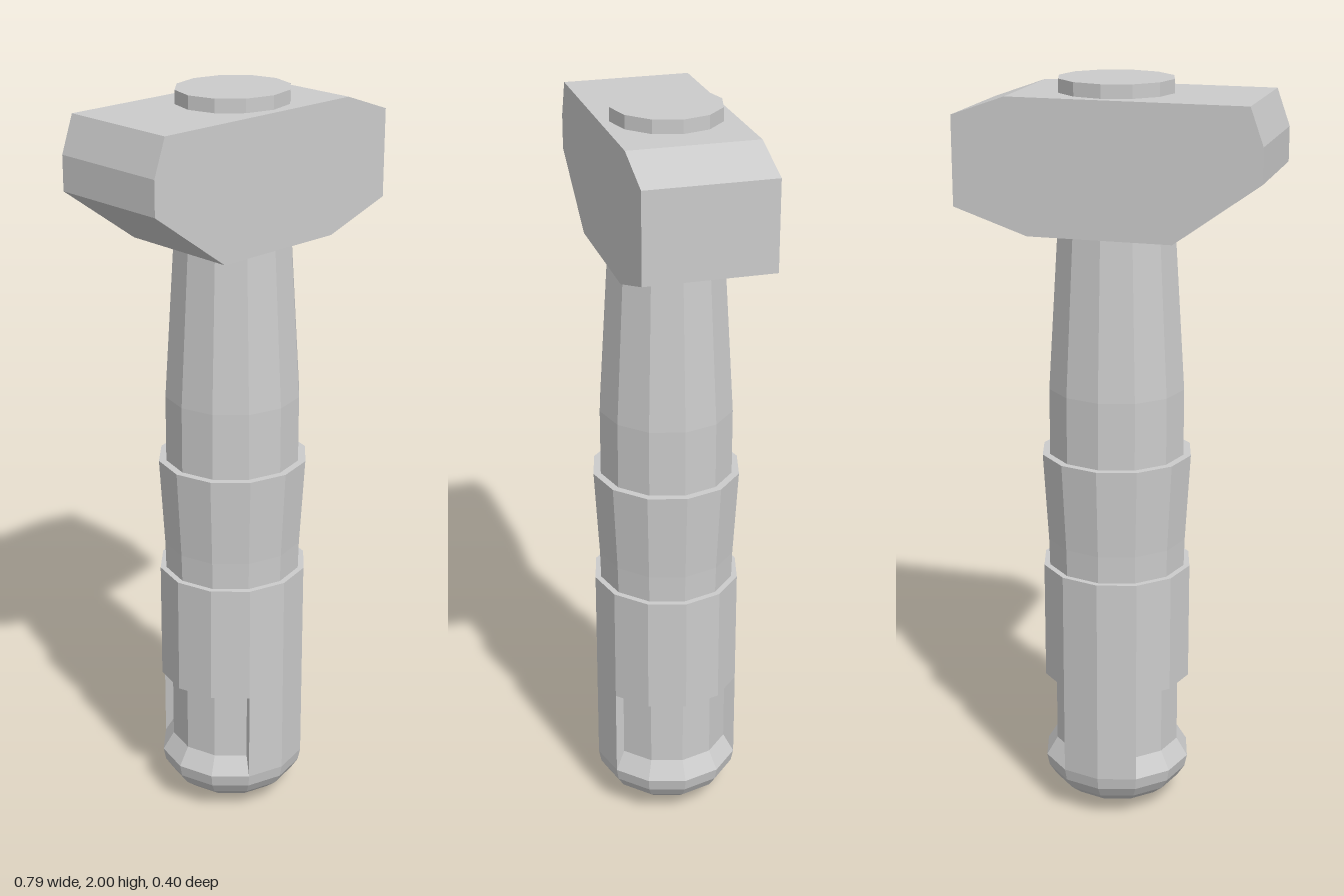
import * as THREE from 'three';

const SIDES = 12;
const material = new THREE.MeshStandardMaterial({ color: 0xcccccc, flatShading: true });
const thin = new THREE.MeshStandardMaterial({ color: 0xcccccc, flatShading: true, side: THREE.DoubleSide });

function part(name, geometry, mat = material) {
  const mesh = new THREE.Mesh(geometry, mat);
  mesh.name = name;
  return mesh;
}

// Turned piece from [radius, height] pairs, listed bottom to top
function turned(name, profile, segments = SIDES, start = 0, length = Math.PI * 2) {
  const points = profile.map(([r, y]) => new THREE.Vector2(r, y));
  return part(name, new THREE.LatheGeometry(points, segments, start, length));
}

export function createModel() {
  const model = new THREE.Group();
  model.name = 'hammer';

  const handle = new THREE.Group();
  handle.name = 'handle';
  handle.position.x = 0.013;
  handle.scale.set(1.015, 1, 0.99);
  model.add(handle);

  // Rounded butt
  const dome = [];
  for (let i = 0; i <= 6; i++) {
    const a = (i / 6) * Math.PI / 2;
    dome.push([0.2 * Math.sin(a), 0.13 - 0.13 * Math.cos(a)]);
  }
  handle.add(turned('butt', dome));

  // Lower grip: full width front and back, recessed on both sides
  const recess = [[0.2, 0.13], [0.17, 0.18], [0.17, 0.38], [0.2, 0.38]];
  const wallShape = new THREE.Shape(recess.map(([x, y]) => new THREE.Vector2(x, y)));
  for (const turn of [0, Math.PI]) {
    handle.add(turned('gripFace', [[0.2, 0.13], [0.2, 0.38]], 2, turn - Math.PI / 6, Math.PI / 3));
    handle.add(turned('gripRecess', recess, 4, turn + Math.PI / 6, Math.PI * 2 / 3));
    for (const phi of [turn + Math.PI / 6, turn - Math.PI / 6]) {
      const wall = part('recessWall', new THREE.ShapeGeometry(wallShape), thin);
      wall.rotation.y = phi - Math.PI / 2;
      handle.add(wall);
    }
  }

  // Grip bands and tapering shaft
  handle.add(turned('lowerBand', [[0.2, 0.38], [0.2, 0.705], [0.184, 0.705]]));
  handle.add(turned('upperBand', [[0.184, 0.705], [0.186, 0.78], [0.2, 1.02], [0.18, 1.02]]));
  handle.add(turned('shaft', [[0.18, 1.02], [0.18, 1.2], [0.153, 1.63]]));

  // Handle end showing above the head
  const end = part('handleEnd', new THREE.CylinderGeometry(0.148, 0.148, 0.06, SIDES));
  end.position.y = 1.97;
  end.scale.z = 0.97;
  handle.add(end);

  // Head: bevelled striking face on +x, wedge on -x
  const outline = [
    [-0.175, 1.62], [0.2, 1.62], [0.394, 1.685], [0.394, 1.915],
    [0.253, 1.965], [-0.363, 1.965], [-0.397, 1.87], [-0.397, 1.78],
  ];
  const shape = new THREE.Shape(outline.map(([x, y]) => new THREE.Vector2(x, y)));
  const head = part('head', new THREE.ExtrudeGeometry(shape, { depth: 0.332, bevelEnabled: false }));
  head.position.z = -0.166;
  model.add(head);

  return model;
}
